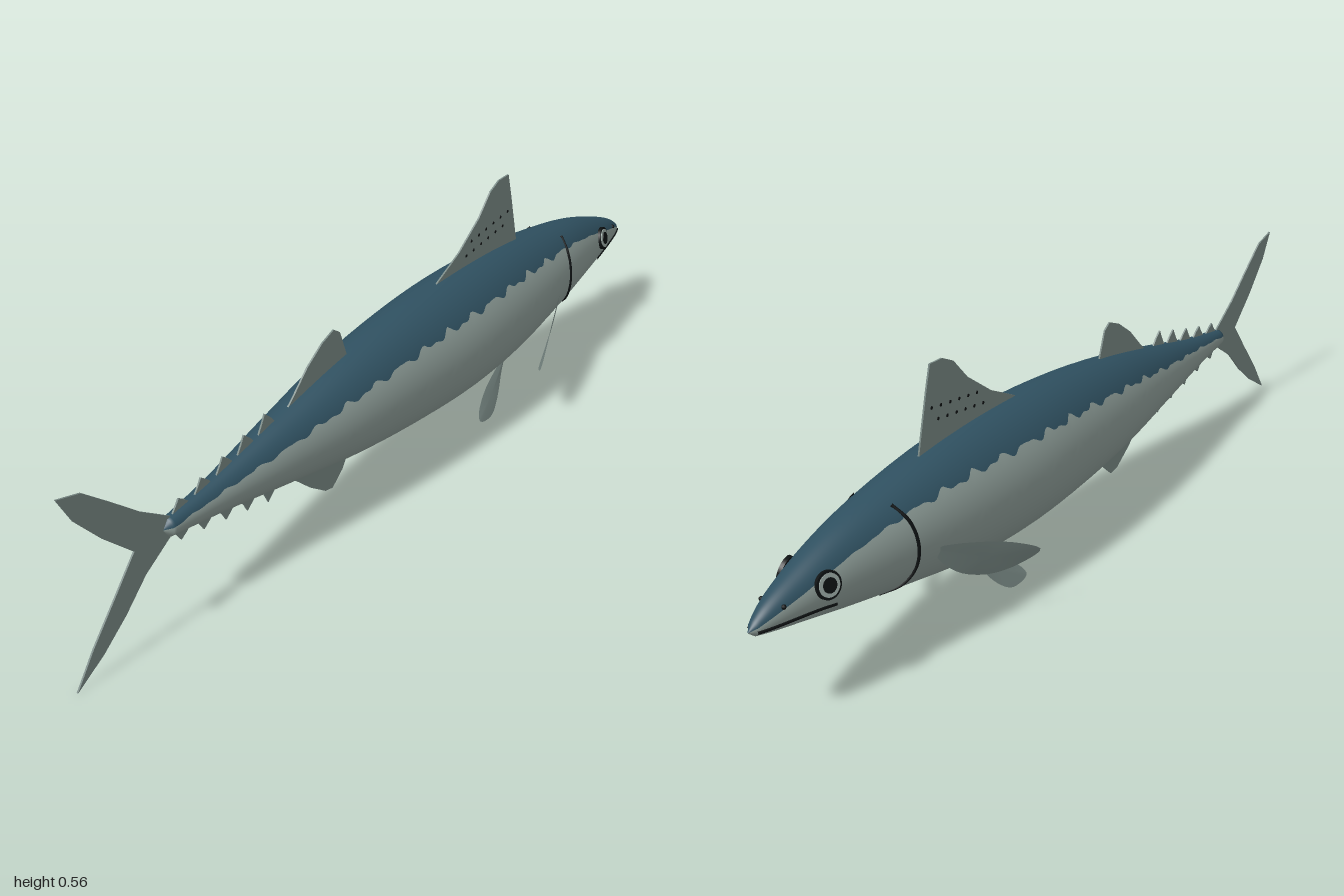
import * as THREE from 'three';

const mat = (name, color, side = THREE.FrontSide) => {
  const m = new THREE.MeshStandardMaterial({ color, side });
  m.name = name;
  return m;
};

// Body stations: x, top y, bottom y, half width, edge of the dark back
const STATIONS = [
  [-0.74, 0.25, 0.212, 0.018, 0.237], [-0.6, 0.272, 0.192, 0.034, 0.255],
  [-0.4, 0.315, 0.158, 0.064, 0.282], [-0.2, 0.355, 0.125, 0.093, 0.312],
  [0, 0.38, 0.104, 0.111, 0.332], [0.2, 0.39, 0.095, 0.12, 0.342],
  [0.4, 0.385, 0.105, 0.112, 0.342], [0.6, 0.362, 0.138, 0.091, 0.328],
  [0.75, 0.334, 0.165, 0.067, 0.3], [0.87, 0.295, 0.19, 0.045, 0.268],
  [0.95, 0.26, 0.206, 0.024, 0.243], [0.985, 0.236, 0.214, 0.01, 0.229],
];
const spline = new THREE.CubicInterpolant(
  STATIONS.map((s) => s[0]), STATIONS.flatMap((s) => s.slice(1)), 4);

function section(x) {
  const [top, bottom, w, edge] = spline.evaluate(x);
  return { cy: (top + bottom) / 2, h: (top - bottom) / 2, w, edge };
}

// Point on the flank at a given x and y, on side s (+1 or -1)
function onSkin(x, y, s, off = 0) {
  const { cy, h, w } = section(x);
  const k = Math.min(1, Math.abs((y - cy) / h));
  return new THREE.Vector3(x, y, s * (w * Math.sqrt(1 - k * k) + off));
}

// One smooth skin; the first columns are the back, the rest the belly
function bodyGeometry() {
  const ROWS = 240, BACK = 18, BELLY = 30, COLS = BACK + BELLY;
  const x0 = -0.74, x1 = 0.985;
  const pos = [], back = [], belly = [];
  for (let i = 0; i <= ROWS; i++) {
    let x = x0 + ((x1 - x0) * i) / ROWS;
    const { cy, h, w, edge } = section(x);
    // scalloped colour edge
    const wave = Math.abs(Math.sin((Math.PI * x) / 0.085)) + 0.3 * Math.sin(x * 130);
    const fade = THREE.MathUtils.clamp((0.8 - x) / 0.25, 0.1, 1);
    const yEdge = edge - 0.085 * h * fade * wave;
    const phi = Math.acos(THREE.MathUtils.clamp((yEdge - cy) / h, -0.9, 0.95));
    const end = i === 0 || i === ROWS;
    if (end) x += i ? 0.007 : -0.006;
    const r = end ? 0.05 : 1;
    for (let j = 0; j < COLS; j++) {
      const a = j <= BACK ? -phi + (2 * phi * j) / BACK
        : phi + ((2 * Math.PI - 2 * phi) * (j - BACK)) / BELLY;
      pos.push(x, cy + r * h * Math.cos(a), r * w * Math.sin(a));
      if (i === ROWS) continue;
      const p = i * COLS + j, q = i * COLS + ((j + 1) % COLS);
      (j < BACK ? back : belly).push(p, q, p + COLS, q, q + COLS, p + COLS);
    }
  }
  const g = new THREE.BufferGeometry();
  g.setAttribute('position', new THREE.Float32BufferAttribute(pos, 3));
  g.setIndex([...back, ...belly]);
  g.addGroup(0, back.length, 0);
  g.addGroup(back.length, belly.length, 1);
  g.computeVertexNormals();
  return g;
}

// Thin upright fin in the middle plane, given its outline in x and y
function finGeometry(points) {
  const shape = new THREE.Shape(points.map((p) => new THREE.Vector2(...p)));
  const g = new THREE.ExtrudeGeometry(shape, { depth: 0.004, bevelEnabled: false });
  return g.translate(0, 0, -0.002);
}

// Thin leaf-shaped fin from a closed 3D outline, mirrored by s
function leafGeometry(points, s) {
  const rim = new THREE.CatmullRomCurve3(
    points.map(([x, y, z]) => new THREE.Vector3(x, y, z * s)), true).getPoints(28);
  const mid = rim.reduce((a, p) => a.add(p), new THREE.Vector3()).divideScalar(rim.length);
  const g = new THREE.BufferGeometry().setFromPoints([mid, ...rim]);
  const idx = [];
  for (let i = 1; i < rim.length; i++) idx.push(0, i, i + 1);
  g.setIndex(idx);
  g.computeVertexNormals();
  return g;
}

export function createModel() {
  const model = new THREE.Group();
  const backBlue = mat('backBlue', 0x2f5060);
  const silver = mat('silver', 0x8b9a95);
  const finGrey = mat('finGrey', 0x788884, THREE.DoubleSide);
  const black = mat('black', 0x0d1112);
  const eyeSilver = mat('eyeSilver', 0x97a5a1);

  const add = (name, geometry, material, parent = model) => {
    const m = new THREE.Mesh(geometry, material);
    m.name = name;
    parent.add(m);
    return m;
  };

  add('body', bodyGeometry(), [backBlue, silver]);

  // Middle fins
  add('firstDorsalFin', finGeometry([[0.13, 0.37], [0.17, 0.393], [0.25, 0.432], [0.33, 0.49],
    [0.375, 0.54], [0.41, 0.557], [0.45, 0.558], [0.465, 0.5], [0.495, 0.37]]), finGrey);
  add('secondDorsalFin', finGeometry([[-0.39, 0.3], [-0.35, 0.335], [-0.3, 0.385], [-0.25, 0.42],
    [-0.21, 0.436], [-0.19, 0.422], [-0.165, 0.35]]), finGrey);
  add('analFin', finGeometry([[-0.39, 0.17], [-0.35, 0.135], [-0.3, 0.09], [-0.25, 0.055],
    [-0.225, 0.05], [-0.19, 0.08], [-0.155, 0.135]]), finGrey);
  add('tailFin', finGeometry([[-0.715, 0.247], [-0.8, 0.305], [-0.87, 0.365], [-0.94, 0.423],
    [-1, 0.44], [-0.965, 0.375], [-0.9, 0.3], [-0.825, 0.228], [-0.88, 0.16], [-0.95, 0.075],
    [-1, 0.003], [-0.925, 0.048], [-0.86, 0.1], [-0.8, 0.16], [-0.715, 0.215]]), finGrey);

  // Finlets above and below the tail stalk
  for (let i = 0; i < 5; i++) {
    const x = -0.43 - i * 0.065;
    const { cy, h } = section(x);
    const t = 0.042 - i * 0.003;
    for (const s of [1, -1]) {
      const y = cy + s * (h - 0.008);
      add(s > 0 ? 'upperFinlet' : 'lowerFinlet', finGeometry([[x + 0.03, y],
        [x + 0.01, y + s * t * 0.6], [x - 0.008, y + s * t], [x - 0.016, y + s * t * 0.6],
        [x - 0.03, y]]), finGrey);
    }
  }

  // Rows of small dark spots on the first dorsal fin
  for (let row = 0; row < 2; row++) {
    for (let i = 0; i < 6; i++) {
      const spot = add('finSpot', new THREE.CylinderGeometry(0.004, 0.004, 0.006, 6), black);
      spot.rotation.x = Math.PI / 2;
      spot.position.set(0.28 + i * 0.03 + row * 0.02, 0.415 + i * 0.004 + row * 0.03, 0);
    }
  }

  for (const s of [1, -1]) {
    const side = s > 0 ? 'front' : 'back';
    const line = (name, pts, r) => add(name + (s > 0 ? 'Front' : 'Back'), new THREE.TubeGeometry(
      new THREE.CatmullRomCurve3(pts.map(([x, y]) => onSkin(x, y, s))), 32, r, 6), black);

    // Paired fins
    add(side + 'PectoralFin', leafGeometry([[0.565, 0.228, 0.09], [0.46, 0.212, 0.135],
      [0.38, 0.182, 0.168], [0.335, 0.152, 0.182], [0.37, 0.128, 0.155], [0.43, 0.124, 0.128],
      [0.5, 0.15, 0.106], [0.55, 0.195, 0.092]], s), finGrey);
    add(side + 'PelvicFin', leafGeometry([[0.39, 0.112, 0.045], [0.3, 0.075, 0.055],
      [0.245, 0.035, 0.072], [0.24, 0.018, 0.08], [0.29, 0.01, 0.079], [0.33, 0.035, 0.068],
      [0.37, 0.085, 0.052]], s), finGrey);

    // Gill cover edge and mouth
    line('gillEdge', [[0.635, 0.342], [0.62, 0.31], [0.613, 0.26], [0.616, 0.21],
      [0.632, 0.173], [0.658, 0.152]], 0.004);
    line('mouth', [[0.81, 0.213], [0.85, 0.219], [0.9, 0.222], [0.95, 0.223], [0.98, 0.223]], 0.0035);

    // Eye of stacked thin discs, and nostril
    const eye = new THREE.Group();
    eye.name = side + 'Eye';
    eye.position.copy(onSkin(0.832, 0.264, s, 0.001));
    eye.quaternion.setFromUnitVectors(new THREE.Vector3(0, 1, 0),
      new THREE.Vector3(0.22, 0.25, s).normalize());
    model.add(eye);
    [['eyeRim', 0.028, black], ['iris', 0.023, eyeSilver], ['pupil', 0.015, black]]
      .forEach(([name, r, m], i) => {
        add(name, new THREE.CylinderGeometry(r, r, 0.008, 28), m, eye).position.y = i * 0.002;
      });
    add(side + 'Nostril', new THREE.SphereGeometry(0.005, 8, 6), black)
      .position.copy(onSkin(0.925, 0.255, s));
  }
  return model;
}
